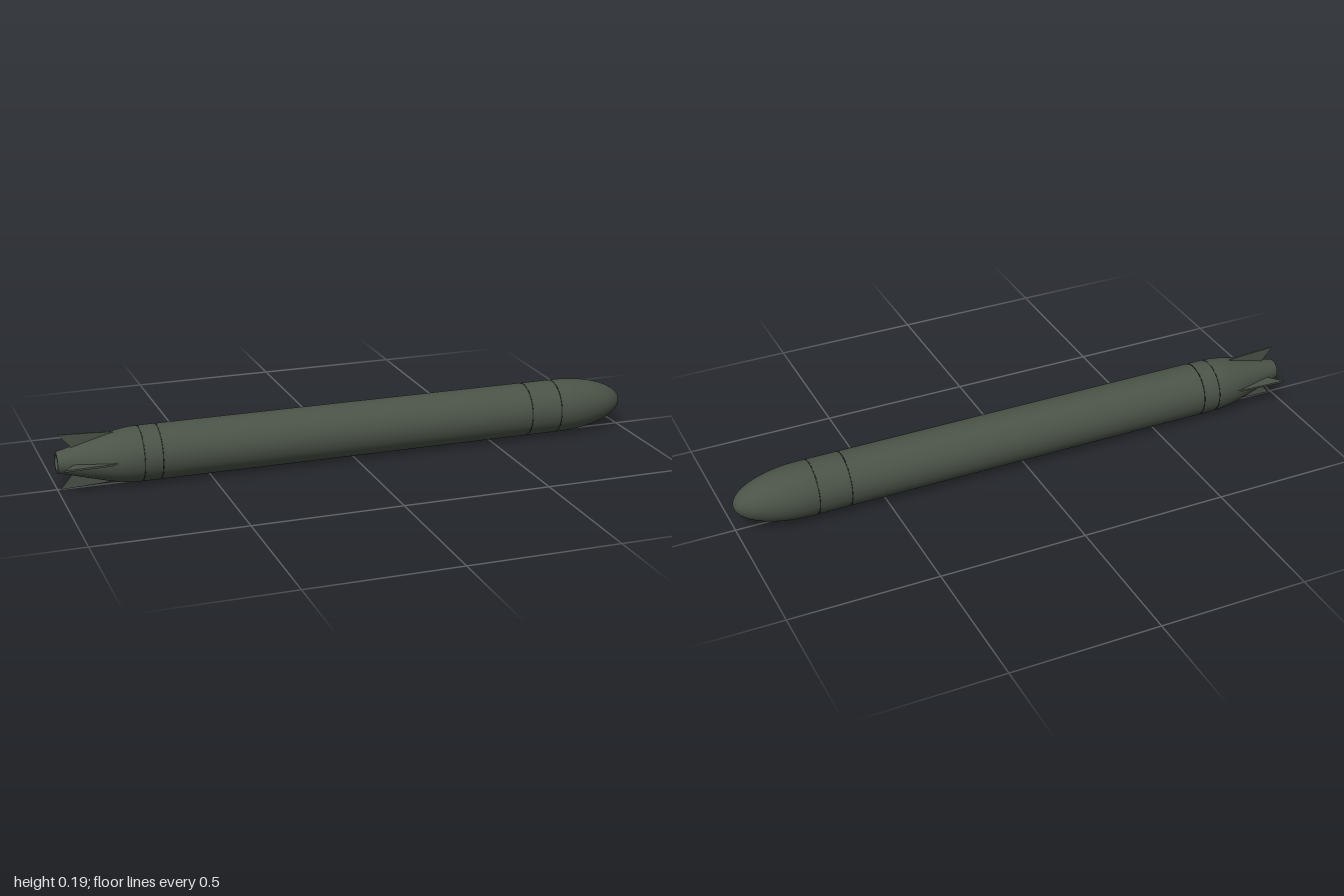
import * as THREE from 'three';

const R = 0.0915, AXIS_Y = 0.0925;

export function createModel() {
  const model = new THREE.Group();
  model.name = 'torpedo';
  const hullPaint = new THREE.MeshStandardMaterial({ name: 'hull grey green', color: 0x4b5348 });
  const seamPaint = new THREE.MeshStandardMaterial({ name: 'seam dark', color: 0x262b25 });

  // Surface of revolution about the long axis; points are [x, radius]
  function turned(name, points, material = hullPaint) {
    const profile = points.map(([x, r]) => new THREE.Vector2(r, x));
    const mesh = new THREE.Mesh(new THREE.LatheGeometry(profile, 64), material);
    mesh.name = name;
    mesh.rotation.z = -Math.PI / 2;
    mesh.position.y = AXIS_Y;
    model.add(mesh);
  }

  // Straight hull sections, parted by narrow recessed seams
  const seams = [-0.73, -0.67, 0.63, 0.74];
  const names = ['rearCollar', 'mainBody', 'frontCollar'];
  const half = 0.002;
  names.forEach((name, i) =>
    turned(name, [[seams[i] + half, R], [seams[i + 1] - half, R]]));
  seams.forEach((x) =>
    turned('seam', [[x - half, R - 0.001], [x + half, R - 0.001]], seamPaint));

  // Rounded nose
  const nose = [[0.74 + half, R]];
  for (let i = 0; i <= 20; i++) {
    const a = (i / 20) * Math.PI / 2;
    nose.push([0.76 + 0.24 * Math.sin(a), R * Math.cos(a)]);
  }
  turned('nose', nose);

  // Tapered tail with an open end
  const taper = new THREE.SplineCurve([
    [-1, 0.035], [-0.95, 0.047], [-0.88, 0.066], [-0.82, 0.081], [-0.77, 0.089], [-0.732, R],
  ].map(([x, r]) => new THREE.Vector2(x, r)));
  turned('tailCone', taper.getPoints(24).map((p) => [p.x, p.y]));
  turned('tailRim', [[-1, 0.027], [-1, 0.035]]);
  turned('tailBore', [[-0.95, 0.027], [-1, 0.027]]);
  turned('tailBoreEnd', [[-0.95, 0], [-0.95, 0.027]], seamPaint);

  // Four swept fins in a cross
  const finShape = new THREE.Shape([
    [-0.95, 0.04], [-0.82, 0.07], [-0.81, 0.083], [-0.86, 0.087], [-0.99, 0.0925], [-0.955, 0.052],
  ].map(([x, y]) => new THREE.Vector2(x, y)));
  const finGeometry = new THREE.ExtrudeGeometry(finShape, { depth: 0.006, bevelEnabled: false });
  finGeometry.translate(0, 0, -0.003);
  for (let i = 0; i < 4; i++) {
    const fin = new THREE.Mesh(finGeometry, hullPaint);
    fin.name = 'tailFin';
    fin.position.y = AXIS_Y;
    fin.rotation.x = i * Math.PI / 2;
    model.add(fin);
  }
  return model;
}
